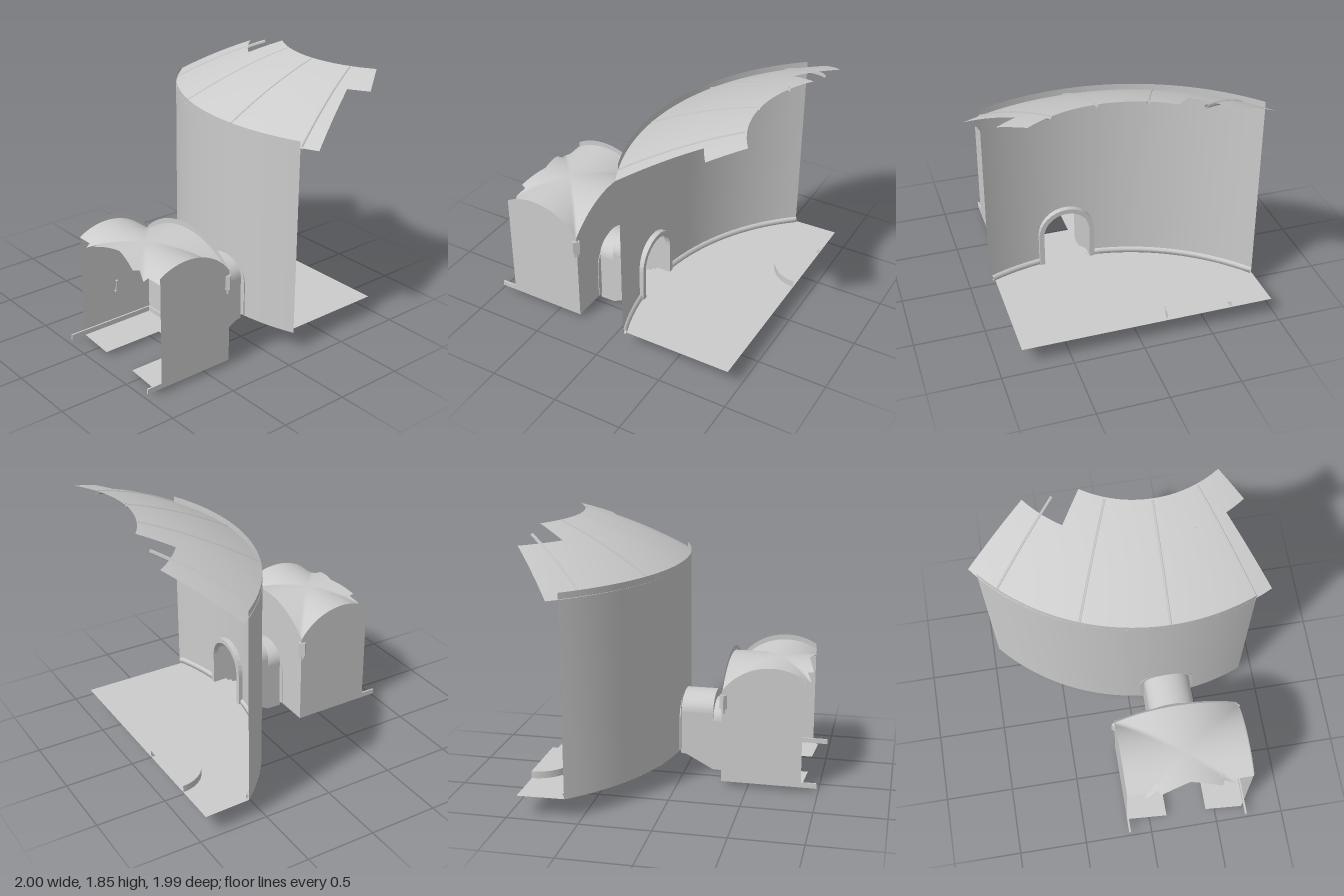
import * as THREE from 'three';

const MAT = new THREE.MeshStandardMaterial({ color: 0xcccccc, side: THREE.DoubleSide });
const CX = 0.28, CZ = -1.63, R = 1.6;          // shared axis, centre and radius of the round hall
const rad = THREE.MathUtils.degToRad;
const lerp = THREE.MathUtils.lerp;
const drop = (d, r) => r - Math.sqrt(r * r - d * d);   // fall of a circular arc away from its crown

export function createModel() {
  const root = new THREE.Group();
  const group = (name) => { const g = new THREE.Group(); g.name = name; root.add(g); return g; };
  const add = (parent, name, geo, x = 0, y = 0, z = 0) => {
    const m = new THREE.Mesh(geo, MAT);
    m.name = name;
    m.position.set(x, y, z);
    parent.add(m);
    return m;
  };

  // Surface from a grid of points f(u, v)
  const sheet = (nu, nv, f) => {
    const pos = [], idx = [];
    for (let i = 0; i <= nu; i++) for (let j = 0; j <= nv; j++) pos.push(...f(i / nu, j / nv));
    for (let i = 0; i < nu; i++) for (let j = 0; j < nv; j++) {
      const a = i * (nv + 1) + j, b = a + nv + 1;
      idx.push(a, b, a + 1, b, b + 1, a + 1);
    }
    const g = new THREE.BufferGeometry();
    g.setAttribute('position', new THREE.Float32BufferAttribute(pos, 3));
    g.setIndex(idx);
    g.computeVertexNormals();
    return g;
  };

  // Wall columns [offset, bottom] with an arched doorway in the middle
  const doorColumns = (a, b, n, w, base, spring, rise) => {
    const c = [];
    for (let i = 0; i <= n; i++) c.push([lerp(a, -w, i / n), base]);
    for (let i = 0; i <= 16; i++) {
      const t = Math.PI * i / 16;
      c.push([-w * Math.cos(t), spring + rise * Math.sin(t)]);
    }
    for (let i = 0; i <= n; i++) c.push([lerp(w, b, i / n), base]);
    return c;
  };
  const doorWall = (cols, top, z) => sheet(cols.length - 1, 1, (u, v) => {
    const [s, low] = cols[Math.round(u * (cols.length - 1))];
    return [CX + s, lerp(low, top(s), v), z(s)];
  });

  // Arched door surround
  const archPoints = (w, y0, spring, rise) => {
    const p = [new THREE.Vector2(w, y0)];
    for (let i = 0; i <= 16; i++) {
      const t = Math.PI * i / 16;
      p.push(new THREE.Vector2(w * Math.cos(t), spring + rise * Math.sin(t)));
    }
    p.push(new THREE.Vector2(-w, y0));
    return p;
  };
  const surround = (y0, spring, depth) => new THREE.ExtrudeGeometry(
    new THREE.Shape([...archPoints(0.205, y0, spring, 0.2), ...archPoints(0.17, y0, spring, 0.165).reverse()]),
    { depth, bevelEnabled: false });
  const polygon = (pts) => new THREE.Shape(pts.map((p) => new THREE.Vector2(...p)));
  // Flat floor from [x, z] points
  const floorPlate = (pts) => new THREE.ShapeGeometry(polygon(pts.map(([x, z]) => [x, -z]))).rotateX(-Math.PI / 2);

  // ---- Round hall ----
  const hall = group('hall');
  const arcZ = (s) => CZ + Math.sqrt(R * R - s * s);
  add(hall, 'hallWall', doorWall(doorColumns(-1.23, 0.6, 20, 0.17, 0.145, 0.41, 0.15), () => 1.55, arcZ));
  add(hall, 'hallDoorSurround', surround(0.15, 0.395, 0.04), CX, 0, -0.075);

  const floorPts = [[0.84, -0.935], [-0.96, -0.935]];
  for (let i = 0; i <= 40; i++) { const s = lerp(-1.23, 0.56, i / 40); floorPts.push([CX + s, arcZ(s)]); }
  add(hall, 'hallFloor', floorPlate(floorPts), 0, 0.147, 0);

  // Skirting on both sides of the door
  for (const [a, b] of [[-1.23, -0.2], [0.2, 0.58]]) {
    const section = [[0, 0.15], [0.02, 0.15], [0.02, 0.18], [0, 0.187]];
    add(hall, 'hallSkirting', sheet(20, 3, (u, v) => {
      const t = Math.asin(lerp(a, b, u) / R), [d, y] = section[Math.round(v * 3)];
      return [CX + (R - d) * Math.sin(t), y, CZ + (R - d) * Math.cos(t)];
    }));
  }
  add(hall, 'halfRoundDais', new THREE.CylinderGeometry(0.235, 0.235, 0.05, 16, 1, false, -Math.PI / 2, Math.PI),
    -0.42, 0.173, -0.935);

  // ---- Broken dome ----
  const dome = group('dome');
  const domeY = (r) => 1.505 + 0.178 * (2.592 - r * r);
  const domePoint = (r, t, dy = 0) => [CX + r * Math.sin(t), domeY(r) + dy, CZ - 0.01 + r * Math.cos(t)];
  const domePart = (name, r0, r1, a, b) => add(dome, name,
    sheet(32, 12, (u, v) => domePoint(lerp(r0, r1, v), rad(lerp(a, b, u)))));
  domePart('lowerDome', 1.61, 1.07, -53, 26.5);
  domePart('upperDome', 1.07, 0.82, -35, 35);
  for (const [deg, end] of [[-44, 0.94], [-22, 0.83], [0, 0.83], [22, 0.83]]) {
    const pts = [];
    for (let i = 0; i <= 8; i++) pts.push(new THREE.Vector3(...domePoint(lerp(1.6, end, i / 8), rad(deg), -0.008)));
    add(dome, 'domeRib', new THREE.TubeGeometry(new THREE.CatmullRomCurve3(pts), 16, 0.015, 4));
  }

  // ---- Stair passage ----
  const passage = group('passage');
  const side = polygon([[0.31, 0], [0.2, 0.003], [0, 0.11], [-0.04, 0.115], [-0.04, 0.44], [0.2, 0.44], [0.2, 0.38], [0.31, 0.38]]);
  for (const x of [-0.17, 0.17]) {
    add(passage, 'passageWall', new THREE.ShapeGeometry(side).rotateY(-Math.PI / 2), CX + x, 0, 0);
  }
  const vaultPoint = (u, spring, rise) =>
    [CX - 0.17 * Math.cos(Math.PI * u), spring + rise * Math.sin(Math.PI * u)];
  for (const [z0, z1, spring] of [[0.31, 0.2, 0.38], [0.2, -0.035, 0.44]]) {
    add(passage, 'passageVault', sheet(20, 1, (u, v) => [...vaultPoint(u, spring, 0.128), lerp(z0, z1, v)]));
  }
  add(passage, 'vaultStep', sheet(20, 1, (u, v) => [...vaultPoint(u, lerp(0.38, 0.44, v), 0.128), 0.2]));
  // Folded stair: landing, five steps and threshold
  const steps = [[0.31, 0.035], [0.2, 0.035]];
  for (let i = 0; i < 5; i++) {
    const y = 0.035 + 0.023 * (i + 1);
    steps.push([0.2 - i * 0.042, y], [i === 4 ? -0.04 : 0.2 - (i + 1) * 0.042, y]);
  }
  add(passage, 'stairs', sheet(1, steps.length - 1, (u, v) => {
    const [z, y] = steps[Math.round(v * (steps.length - 1))];
    return [CX + lerp(-0.17, 0.17, u), y, z];
  }).toNonIndexed()).geometry.computeVertexNormals();

  // ---- Vaulted front room ----
  const room = group('frontRoom');
  const HW = 0.45, BACK = 0.31, MID = 0.66, FLOOR = 0.035;
  const archX = (s) => drop(s, 0.65), archZ = (z) => drop(z - MID, 0.423);
  add(room, 'roomBackWall', doorWall(doorColumns(-HW, HW, 10, 0.17, FLOOR, 0.29, 0.165), (s) => 0.893 - archX(s), () => BACK));
  add(room, 'roomDoorSurround', surround(FLOOR, 0.29, 0.03), CX, 0, BACK - 0.005);
  for (const sgn of [-1, 1]) {
    const x = CX + sgn * HW;
    add(room, 'roomSideWall', sheet(24, 1, (u, v) => {
      const z = lerp(BACK, 0.88, u);
      return [x, lerp(FLOOR, 0.895 - archZ(z), v), z];
    }));
    add(room, 'sideSkirting', new THREE.BoxGeometry(0.012, 0.037, 0.68), x - sgn * 0.006, 0.053, 0.65);
    add(room, 'backSkirting', new THREE.BoxGeometry(0.245, 0.037, 0.012), CX + sgn * 0.3275, 0.053, BACK + 0.006);
    // Corner corbel, turned to face the room's centre
    const corbel = new THREE.Group();
    corbel.name = 'corbel';
    corbel.position.set(x - sgn * 0.012, 0, 0.325);
    corbel.rotation.y = Math.PI / 4;
    add(corbel, 'corbelBlock', new THREE.BoxGeometry(0.048, 0.1, 0.048), 0, 0.63, 0);
    add(corbel, 'corbelFoot', new THREE.BoxGeometry(0.03, 0.035, 0.03), 0, 0.563, 0);
    room.add(corbel);
  }

  // Groin vault with a ragged broken edge
  const ragged = [[-0.45, 0.885], [-0.33, 0.885], [-0.32, 0.92], [-0.23, 0.885], [-0.22, 0.925], [0, 0.872],
    [0.22, 0.925], [0.24, 0.885], [0.32, 0.915], [0.33, 0.885], [0.45, 0.885]];
  const edgeAt = (s) => {
    const i = Math.max(1, ragged.findIndex((p) => p[0] >= s - 1e-6));
    const [a, b] = [ragged[i - 1], ragged[i]];
    return lerp(a[1], b[1], (s - a[0]) / (b[0] - a[0]));
  };
  add(room, 'groinVault', sheet(90, 40, (u, v) => {
    const s = lerp(-HW, HW, u), z = lerp(BACK, edgeAt(s), v);
    return [CX + s, 0.856 - Math.min(archX(s), archZ(z)), z];
  }));
  const ribPts = [];
  for (let i = 0; i <= 16; i++) {
    const s = lerp(-0.44, 0.44, i / 16);
    ribPts.push(new THREE.Vector3(CX + s, 0.843 - archX(s), BACK + 0.012));
  }
  add(room, 'wallRib', new THREE.TubeGeometry(new THREE.CatmullRomCurve3(ribPts), 32, 0.012, 6));

  // Floor with a missing bay
  add(room, 'roomFloor', floorPlate([[-0.17, BACK], [0.73, BACK], [0.73, 0.88], [0.7, 0.92], [0.43, 0.9],
    [0.43, 0.45], [0.13, 0.45], [0.13, 0.9], [-0.17, 0.88]]), 0, FLOOR, 0);

  // Small wall torch
  const torch = new THREE.Group();
  torch.name = 'wallTorch';
  torch.position.set(-0.15, 0.33, 0.61);
  add(torch, 'torchShaft', new THREE.CylinderGeometry(0.007, 0.004, 0.1, 6)).rotation.z = -0.15;
  add(torch, 'torchBracket', new THREE.BoxGeometry(0.025, 0.007, 0.012), -0.01, -0.035, 0);
  add(torch, 'torchCup', new THREE.CylinderGeometry(0.011, 0.006, 0.02, 6), 0.007, 0.045, 0);
  room.add(torch);

  return root;
}
